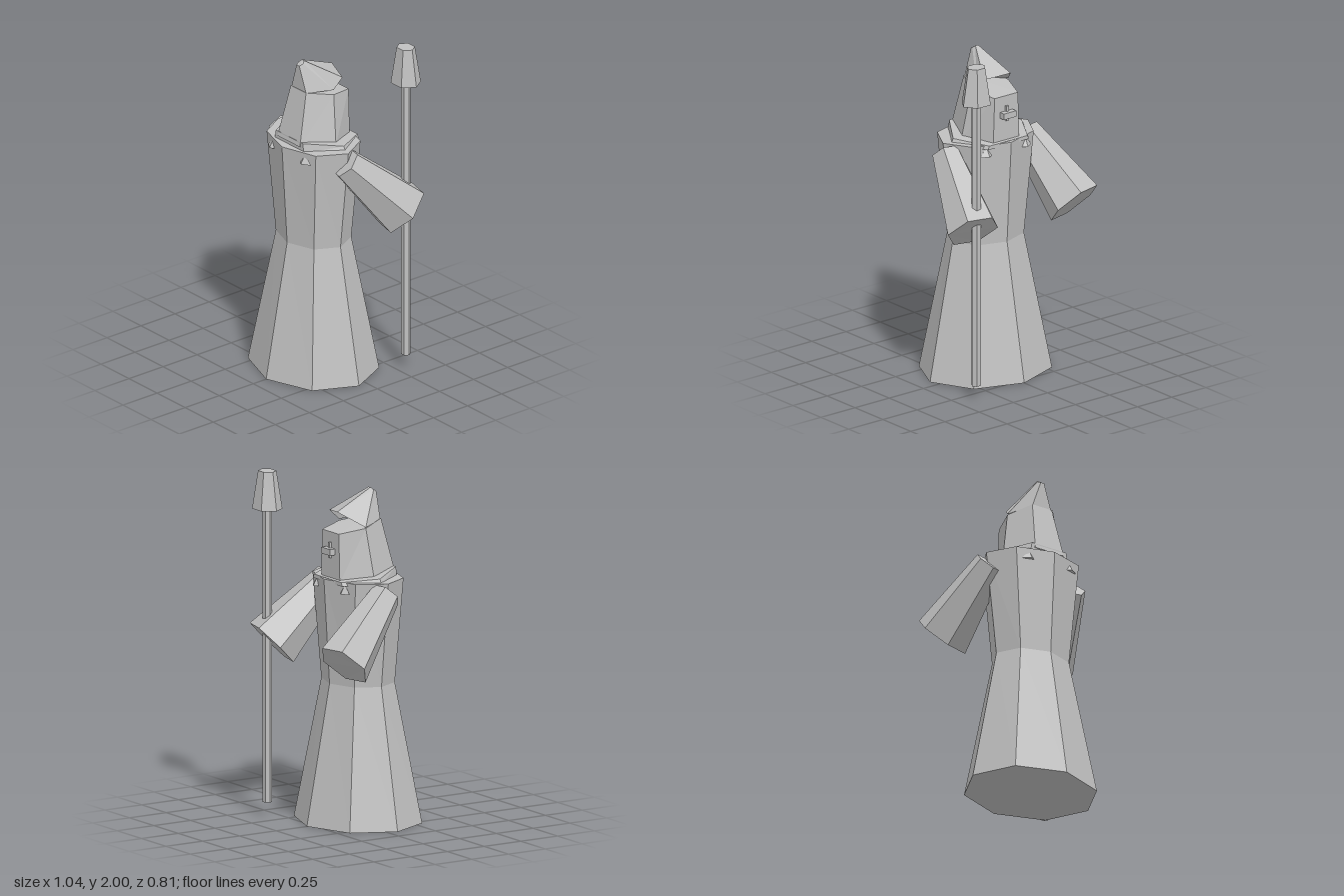
import * as THREE from 'three';

const stone = new THREE.MeshStandardMaterial({ color: 0xc0c0c0 });
stone.name = 'stoneGrey';

// Closed, flat-shaded loft through rings of [x, y, z] points
function loft(rings) {
  const tris = [];
  const n = rings[0].length;
  for (let r = 0; r + 1 < rings.length; r++) {
    for (let i = 0; i < n; i++) {
      const j = (i + 1) % n;
      const a = rings[r][i], b = rings[r][j], c = rings[r + 1][j], d = rings[r + 1][i];
      tris.push([a, b, c], [a, c, d]);
    }
  }
  const last = rings[rings.length - 1];
  for (let i = 1; i + 1 < n; i++) {
    tris.push([rings[0][0], rings[0][i + 1], rings[0][i]], [last[0], last[i], last[i + 1]]);
  }
  // Turn the faces outward, judged by the signed volume
  const v = (p) => new THREE.Vector3(...p);
  const volume = tris.reduce((s, [a, b, c]) => s + v(a).dot(v(b).cross(v(c))), 0);
  if (volume < 0) tris.forEach((t) => t.reverse());
  const geo = new THREE.BufferGeometry();
  geo.setAttribute('position', new THREE.Float32BufferAttribute(tris.flat(2), 3));
  geo.computeVertexNormals();
  return geo;
}

// Horizontal polygon with a corner on the x axis
function ring(sides, y, rx, rz, cx, cz) {
  return Array.from({ length: sides }, (_, i) => {
    const t = (i / sides) * Math.PI * 2;
    return [cx + rx * Math.cos(t), y, cz + rz * Math.sin(t)];
  });
}

// Hexagon symmetric in x: front pair, side pair, back pair, each [x, y, z]
function hex(f, s, b) {
  const m = ([x, y, z]) => [-x, y, z];
  return [f, s, b, m(b), m(s), m(f)];
}

export function createModel() {
  const group = new THREE.Group();
  const add = (name, geo) => {
    const mesh = new THREE.Mesh(geo, stone);
    mesh.name = name;
    group.add(mesh);
    return mesh;
  };

  // Robe
  const cz = 0.057;
  add('robeSkirt', loft([ring(8, 0, 0.405, 0.348, 0, cz), ring(8, 0.81, 0.24, 0.194, 0, cz)]));
  add('robeTorso', loft([ring(8, 0.81, 0.24, 0.194, 0, cz), ring(8, 1.42, 0.31, 0.232, 0, cz)]));

  // Tilted collar
  add('collar', loft([
    hex([0.13, 1.41, 0.235], [0.265, 1.41, 0.04], [0.15, 1.4, -0.15]),
    hex([0.12, 1.467, 0.235], [0.25, 1.44, 0.04], [0.14, 1.422, -0.15]),
  ]));

  // Small studs round the chest and back
  for (const x of [-0.14, 0.14]) {
    for (const z of [0.235, -0.125]) {
      const stud = loft([ring(4, 1.355, 0.048, 0.03, x, z), ring(4, 1.405, 0.002, 0.002, x, z)]);
      add('robeStud', stud);
    }
  }

  // Head with a sloping top
  add('head', loft([
    hex([0.1, 1.44, 0.24], [0.185, 1.425, 0.045], [0.095, 1.41, -0.13]),
    hex([0.068, 1.745, 0.168], [0.135, 1.715, 0.02], [0.085, 1.69, -0.13]),
  ]));

  // Face ridge and crossbar
  add('noseRidge', new THREE.BoxGeometry(0.016, 0.09, 0.02)).position.set(0, 1.585, -0.133);
  add('noseBar', new THREE.BoxGeometry(0.09, 0.036, 0.04)).position.set(0, 1.58, -0.145);

  // Bent pointed cap, lifted at the back
  const capRim = [
    [0.065, 1.74, 0.165], [0.11, 1.73, 0], [0.11, 1.79, -0.065],
    [-0.045, 1.81, -0.115], [-0.135, 1.72, 0.02], [-0.065, 1.74, 0.165],
  ];
  const capTip = [
    [0.012, 1.895, 0.172], [0.02, 1.905, 0.15], [0.01, 1.918, 0.135],
    [-0.01, 1.918, 0.135], [-0.02, 1.905, 0.15], [-0.012, 1.895, 0.172],
  ];
  add('cap', loft([capRim, capTip]));

  // Sleeves: hexagonal, widening from shoulder to cuff
  const spokes = [[0.15, 0, 0.04], [0.045, -0.105, 0.117], [-0.103, -0.105, 0.08]];
  const corners = [...spokes, ...spokes.map((p) => p.map((c) => -c))];
  for (const side of [1, -1]) {
    const end = (x, y, z, k) => corners.map((p) => [side * (x + k * p[0]), y + k * p[1], z + k * p[2]]);
    add(side > 0 ? 'leftSleeve' : 'rightSleeve',
      loft([end(0.285, 1.355, 0.06, 0.55), end(0.37, 1.0, -0.285, 1)]));
  }

  // Staff
  const sx = 0.37, sz = -0.315;
  add('staffPole', loft([ring(6, 0.08, 0.03, 0.027, sx, sz), ring(6, 1.79, 0.03, 0.027, sx, sz)]));
  add('staffHead', loft([ring(6, 1.78, 0.095, 0.083, sx, sz), ring(6, 2, 0.058, 0.05, sx, sz)]));

  return group;
}
